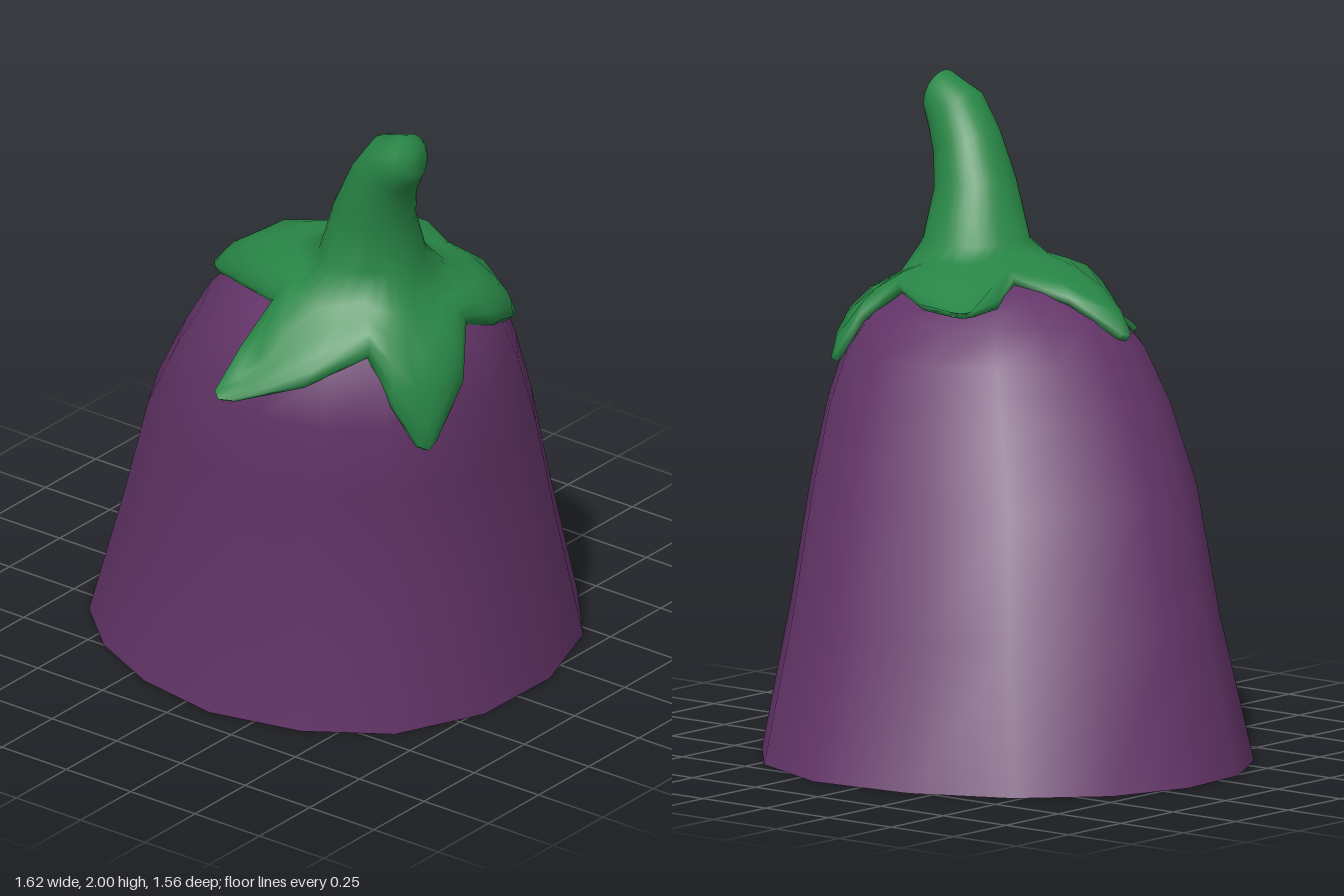
import * as THREE from 'three';

const V = (x, y, z) => new THREE.Vector3(x, y, z);

// Skin a stack of closed rings with an equal number of points
function loft(rings) {
  const n = rings[0].length, pos = [], idx = [];
  rings.forEach(r => r.forEach(p => pos.push(p.x, p.y, p.z)));
  for (let k = 0; k < rings.length - 1; k++)
    for (let i = 0; i < n; i++) {
      const a = k * n + i, b = k * n + (i + 1) % n;
      idx.push(a, a + n, b, b, a + n, b + n);
    }
  const g = new THREE.BufferGeometry();
  g.setAttribute('position', new THREE.Float32BufferAttribute(pos, 3));
  g.setIndex(idx);
  g.computeVertexNormals();
  return g;
}

// Outline of the cut face (x, z), scaled to a unit square
const OUTLINE = [
  [0.815, 0.17], [0.69, 0.47], [0.46, 0.67], [0.16, 0.775], [-0.16, 0.77], [-0.44, 0.64], [-0.60, 0.40], [-0.67, 0.10],
  [-0.62, -0.19], [-0.50, -0.44], [-0.33, -0.63], [-0.10, -0.76], [0.16, -0.78], [0.42, -0.69], [0.64, -0.48], [0.78, -0.18],
].map(([x, z]) => [(x - 0.0725) / 0.7425, (z + 0.0025) / 0.7775]);

// The outline grows rounder at the back left higher up
const outlineAt = y => OUTLINE.map(([x, z]) => {
  const s = x > 0 && z < 0 ? 1 + 0.04 * Math.min(1, y) : 1;
  return [x * s, z * s];
});

// Body cross-sections: y, xMin, xMax, zMin, zMax
const SECTIONS = [
  [0, -0.67, 0.815, -0.78, 0.78],
  [0.44, -0.625, 0.665, -0.625, 0.74],
  [0.82, -0.655, 0.505, -0.47, 0.755],
  [1.06, -0.655, 0.385, -0.325, 0.75],
  [1.22, -0.615, 0.30, -0.22, 0.715],
  [1.33, -0.53, 0.21, -0.12, 0.64],
  [1.41, -0.44, 0.09, 0.02, 0.50],
  [1.45, -0.33, -0.10, 0.20, 0.40],
];

function insideBody(p, gap) {
  const y = p.y - gap;
  const k = SECTIONS.findIndex(s => s[0] > y);
  if (k < 1) return false;
  const lo = SECTIONS[k - 1], hi = SECTIONS[k], t = (y - lo[0]) / (hi[0] - lo[0]);
  const [, x0, x1, z0, z1] = lo.map((v, i) => v + (hi[i] - v) * t);
  const dx = (p.x - (x0 + x1) / 2) / ((x1 - x0) / 2 + gap);
  const dz = (p.z - (z0 + z1) / 2) / ((z1 - z0) / 2 + gap);
  return outlineAt(y).every(([ax, az], i, o) => {
    const [bx, bz] = o[(i + 1) % o.length];
    return (bx - ax) * (dz - az) - (bz - az) * (dx - ax) > 0;
  });
}

// Push a point outward until it clears the body skin
const CORE = V(-0.2, 0.8, 0.2);
function hug(p, gap) {
  const q = p.clone(), step = p.clone().sub(CORE).normalize().multiplyScalar(0.004);
  for (let i = 0; i < 120 && insideBody(q, gap); i++) q.add(step);
  return q;
}

const bodyRing = ([y, x0, x1, z0, z1]) => outlineAt(y).map(([x, z]) =>
  V((x0 + x1) / 2 + (x1 - x0) / 2 * x, y, (z0 + z1) / 2 + (z1 - z0) / 2 * z));

// Leafy cap and stem in one skin
function capGeometry() {
  const tips = [V(0.265, 1.40, 0.045), V(0.195, 1.195, 0.605), V(-0.39, 1.0, 0.735), V(-0.79, 1.175, 0.25), V(-0.245, 1.29, -0.19)];
  const valleys = [V(-0.08, 1.42, 0.12), V(0.09, 1.41, 0.44), V(-0.14, 1.30, 0.68), V(-0.48, 1.28, 0.57), V(-0.50, 1.38, 0.22)];
  const outline = [];
  tips.forEach((tip, i) => {
    const v0 = valleys[i], v1 = valleys[(i + 1) % 5];
    const across = v1.clone().sub(v0).normalize();
    const point = tip.clone().sub(v0.clone().lerp(v1, 0.5)).setLength(0.02).add(tip);
    const side = (v, s) => {
      const corner = tip.clone().addScaledVector(across, 0.032 * s);
      const edge = v.clone().lerp(corner, 0.5).addScaledVector(across, 0.015 * s);
      edge.y -= 0.015;
      return [edge, corner];
    };
    const [e0, c0] = side(v0, -1), [e1, c1] = side(v1, 1);
    outline.push(v0, e0, c0, point, c1, e1);
  });
  const n = outline.length;
  // Stem ring tilted forward by t
  const stemRing = (x, y, z, r, t) => outline.map((_, i) => {
    const a = (i - 3) / n * Math.PI * 2 - 0.49;
    return V(x + r * Math.cos(a), y - r * Math.sin(t) * Math.sin(a), z + r * Math.cos(t) * Math.sin(a));
  });
  const base = stemRing(-0.255, 1.515, 0.415, 0.165, 0);
  const leafRing = (u, gap) => outline.map((p, i) => {
    const q = p.clone().lerp(base[i], u);
    q.y -= 0.26 * u * (1 - u);
    return hug(q, gap);
  });
  const inward = ring => ring.map(p => p.clone().add(CORE.clone().sub(p).setLength(0.025)));
  return loft([
    inward(leafRing(0.4, 0.02)), inward(leafRing(0, 0.02)),
    leafRing(0, 0.02), leafRing(0.2, 0.03), leafRing(0.4, 0.035), leafRing(0.6, 0.035), leafRing(0.8, 0.035),
    base,
    stemRing(-0.29, 1.68, 0.45, 0.127, 0.15),
    stemRing(-0.31, 1.80, 0.50, 0.108, 0.4),
    stemRing(-0.325, 1.88, 0.555, 0.10, 0.8),
    stemRing(-0.345, 1.925, 0.635, 0.078, 1.35),
    stemRing(-0.345, 1.93, 0.655, 0.05, 1.4),
    stemRing(-0.345, 1.93, 0.66, 0, 1.4),
  ]);
}

export function createModel() {
  const mat = (name, color, side = THREE.FrontSide) => {
    const m = new THREE.MeshStandardMaterial({ color, side });
    m.name = name;
    return m;
  };
  const purple = mat('purple skin', 0x643569);
  const green = mat('green leaf', 0x288646, THREE.DoubleSide);
  const cream = mat('cream flesh', 0xe2ddb2);
  const tan = mat('tan flesh edge', 0xaea67e);

  const group = new THREE.Group();
  group.name = 'halfEggplant';
  const add = (name, geometry, material) => {
    const m = new THREE.Mesh(geometry, material);
    m.name = name;
    group.add(m);
    return m;
  };
  const rings = SECTIONS.map(bodyRing);
  const crown = rings[0].map(() => V(-0.22, 1.46, 0.30));
  add('body', loft([...rings, crown]), purple);
  add('leafCapAndStem', capGeometry(), green);

  // Cut face: skin, edge and flesh as stacked thin layers facing down
  const cutCentre = rings[0].map(() => V(0.0725, 0, 0));
  add('cutSkin', loft([cutCentre, rings[0]]), purple).position.y = 0.006;
  const disc = (name, scale, y, material) => {
    const g = new THREE.CircleGeometry(1, 48);
    g.rotateX(Math.PI / 2);
    g.scale(0.7425 * scale, 1, 0.78 * scale);
    add(name, g, material).position.set(0.0725, y, 0);
  };
  disc('cutEdge', 0.945, 0.003, tan);
  disc('cutFlesh', 0.895, 0, cream);
  return group;
}
